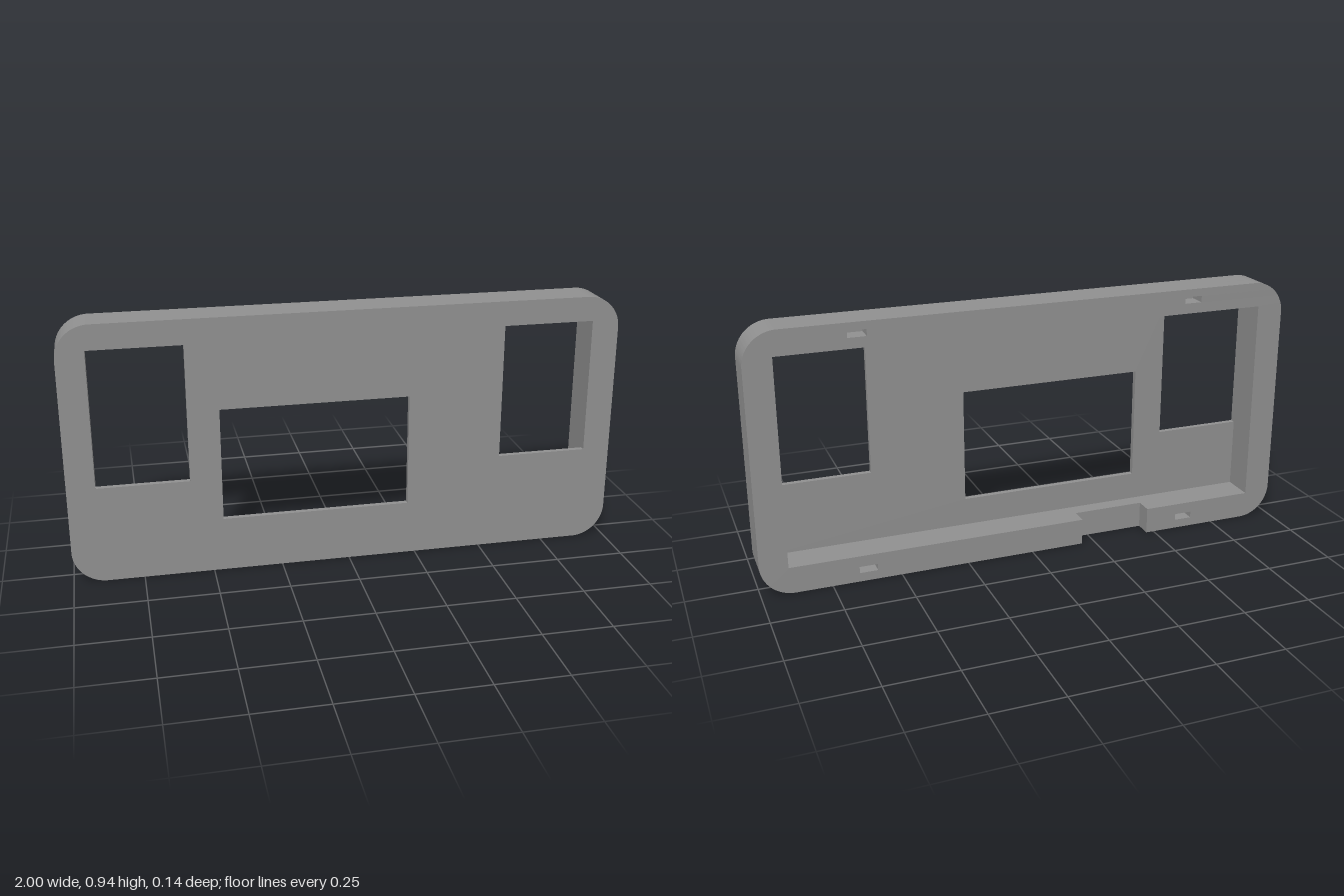
import * as THREE from 'three';
import { toCreasedNormals } from 'three/addons/utils/BufferGeometryUtils.js';

const H = 0.945, R = 0.12;               // outer height and corner radius
const IN = { x: 0.9, y0: 0.098, y1: 0.855 }; // inner pocket
const NOTCH = { x0: -0.47, x1: -0.2 };   // cable gap in the bottom rail

// Rounded outer outline, counter-clockwise from startX to endX on the bottom edge
function traceOutline(shape, startX, endX) {
  shape.moveTo(startX, 0);
  shape.lineTo(1 - R, 0);
  shape.absarc(1 - R, R, R, -Math.PI / 2, 0);
  shape.lineTo(1, H - R);
  shape.absarc(1 - R, H - R, R, 0, Math.PI / 2);
  shape.lineTo(-1 + R, H);
  shape.absarc(-1 + R, H - R, R, Math.PI / 2, Math.PI);
  shape.lineTo(-1, R);
  shape.absarc(-1 + R, R, R, Math.PI, Math.PI * 1.5);
  shape.lineTo(endX, 0);
  return shape;
}

function rectHole(x0, x1, y0, y1) {
  const p = new THREE.Path();
  p.moveTo(x0, y0);
  p.lineTo(x0, y1);
  p.lineTo(x1, y1);
  p.lineTo(x1, y0);
  p.closePath();
  return p;
}

export function createModel() {
  const group = new THREE.Group();
  group.name = 'bezelHousing';
  const gray = new THREE.MeshStandardMaterial({ color: 0x909090 });
  gray.name = 'plastic gray';

  // Extrude one layer between two depths
  const addLayer = (name, shape, z0, z1) => {
    const geo = new THREE.ExtrudeGeometry(shape, { depth: z1 - z0, bevelEnabled: false, curveSegments: 16 });
    geo.translate(0, 0, z0);
    const mesh = new THREE.Mesh(toCreasedNormals(geo, 0.5), gray);
    mesh.name = name;
    group.add(mesh);
  };

  // Front plate with the screen window and two side windows
  const plate = traceOutline(new THREE.Shape(), 0, 0);
  plate.holes.push(
    rectHole(-0.46, 0.22, 0.2, 0.615),
    rectHole(-IN.x, -0.572, 0.357, IN.y1),
    rectHole(0.568, IN.x, 0.357, IN.y1)
  );
  addLayer('frontPlate', plate, 0.05, 0.07);

  // Closed rim behind the plate
  const rim = traceOutline(new THREE.Shape(), 0, 0);
  rim.holes.push(rectHole(-IN.x, IN.x, IN.y0, IN.y1));
  addLayer('innerRim', rim, -0.006, 0.05);

  // Back rim, interrupted by the cable gap and pierced by four blind slots
  const back = traceOutline(new THREE.Shape(), NOTCH.x1, NOTCH.x0);
  back.lineTo(NOTCH.x0, IN.y0);
  back.lineTo(-IN.x, IN.y0);
  back.lineTo(-IN.x, IN.y1);
  back.lineTo(IN.x, IN.y1);
  back.lineTo(IN.x, IN.y0);
  back.lineTo(NOTCH.x1, IN.y0);
  back.closePath();
  for (const x of [-0.625, 0.62])
    for (const y of [0.045, 0.905])
      back.holes.push(rectHole(x - 0.033, x + 0.033, y - 0.012, y + 0.012));
  addLayer('backRim', back, -0.07, -0.006);

  return group;
}
